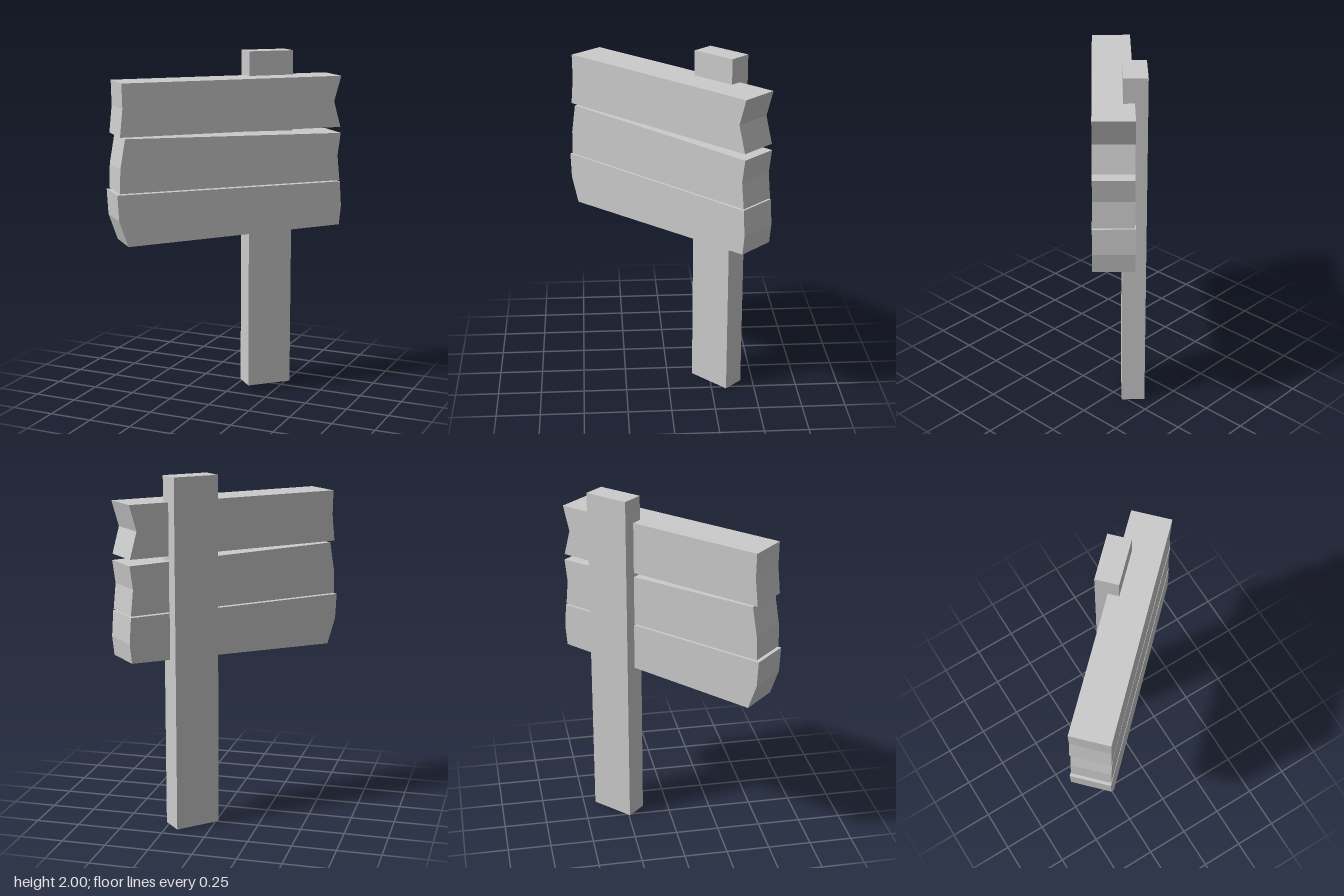
import * as THREE from 'three';

const material = new THREE.MeshStandardMaterial({ color: 0xcccccc, flatShading: true });

// Plank cut from an outline in the sign's plane, running from zBack to zFront
function plank(name, outline, zBack, zFront) {
  const shape = new THREE.Shape(outline.map(([x, y]) => new THREE.Vector2(x, y)));
  const geometry = new THREE.ExtrudeGeometry(shape, { depth: zFront - zBack, bevelEnabled: false });
  geometry.translate(0, 0, zBack);
  const mesh = new THREE.Mesh(geometry, material);
  mesh.name = name;
  return mesh;
}

export function createModel() {
  const sign = new THREE.Group();
  sign.name = 'signpost';
  sign.rotation.y = 0.766; // the whole sign stands diagonally

  // Upright post, let into the back of the planks
  const post = new THREE.Mesh(new THREE.BoxGeometry(0.268, 2, 0.132), material);
  post.name = 'post';
  post.position.set(0.293, 1, -0.12);
  sign.add(post);

  // Three rough planks with broken ends, outlined counter-clockwise
  sign.add(plank('topPlank', [
    [-0.656, 1.565], [0.66, 1.565], [0.618, 1.715], [0.66, 1.86], [-0.643, 1.86], [-0.64, 1.72],
  ], -0.116, 0.11));
  sign.add(plank('middlePlank', [
    [-0.662, 1.253], [0.66, 1.253], [0.645, 1.4], [0.663, 1.53], [-0.628, 1.556], [-0.657, 1.39],
  ], -0.116, 0.11));
  sign.add(plank('bottomPlank', [
    [-0.618, 0.952], [0.66, 0.99], [0.672, 1.1], [0.662, 1.246], [-0.677, 1.246], [-0.669, 1.1],
  ], -0.12, 0.112));

  const model = new THREE.Group();
  model.add(sign);
  return model;
}
